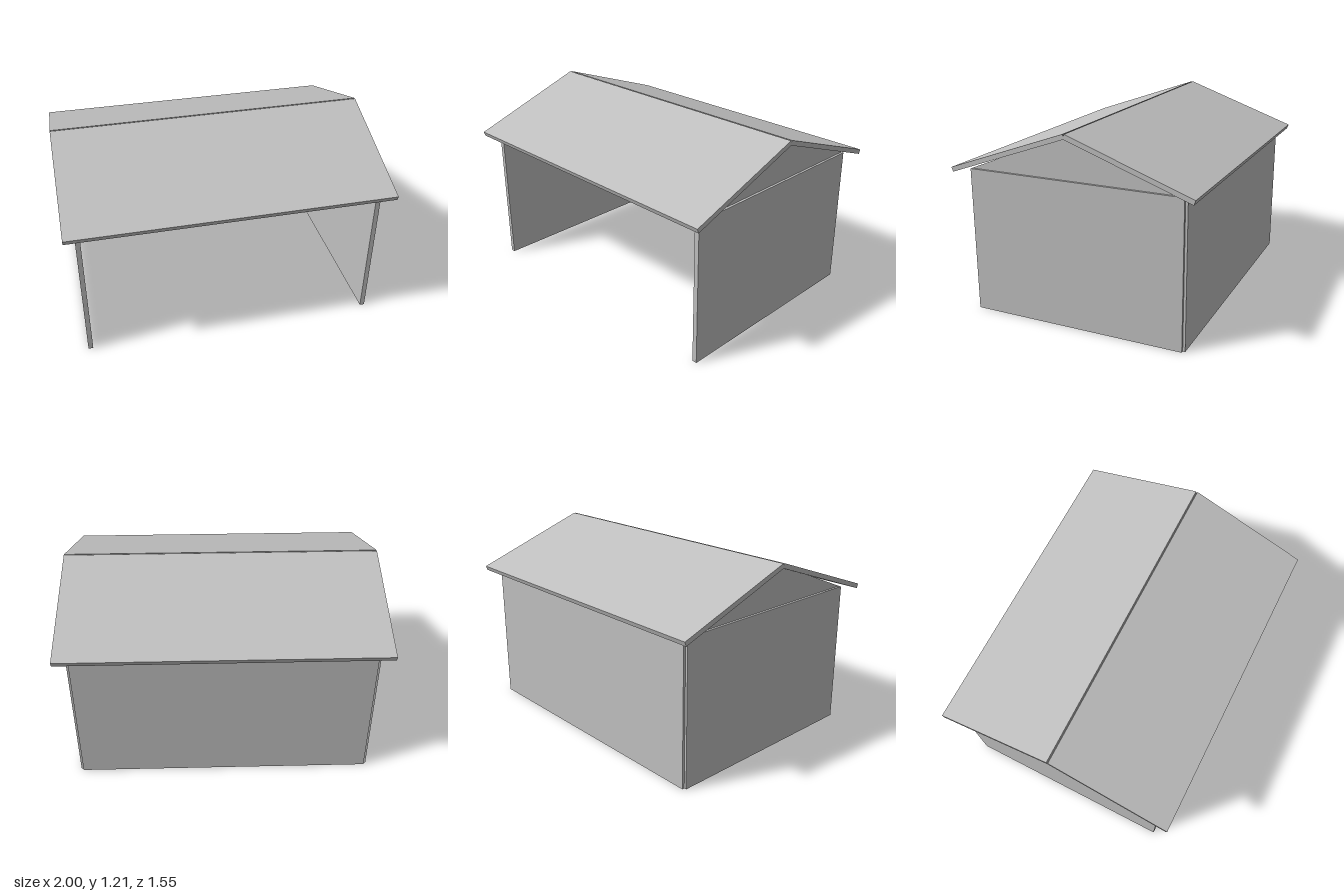
import * as THREE from 'three';

export function createModel() {
  const group = new THREE.Group();
  group.name = 'openShed';
  const grey = new THREE.MeshStandardMaterial({ color: 0xc0c0c0, side: THREE.DoubleSide });
  grey.name = 'plain grey';

  const W = 0.917, D = 0.688, H = 0.918, T = 0.03; // half width, half depth, wall height, board thickness

  const add = (name, geometry, x, y, z) => {
    const mesh = new THREE.Mesh(geometry, grey);
    mesh.name = name;
    mesh.position.set(x, y, z);
    group.add(mesh);
    return mesh;
  };
  const box = (name, w, h, d, x, y, z) => add(name, new THREE.BoxGeometry(w, h, d), x, y, z);

  // Back wall, centred on the rear ends of the side walls
  box('backWall', 2 * W, H, T, 0, H / 2, -D);

  // Side walls, each topped by a thin gable set on its centre line
  const triangle = new THREE.Shape([
    new THREE.Vector2(-D, 0), new THREE.Vector2(D, 0), new THREE.Vector2(0, 0.28),
  ]);
  for (const [side, s] of [['left', 1], ['right', -1]]) {
    box(side + 'Wall', T, H, 2 * D, s * W, H / 2, 0);
    add(side + 'Gable', new THREE.ShapeGeometry(triangle), s * W, H, 0).rotation.y = s * Math.PI / 2;
  }

  // Two sloping roof boards meeting at the ridge
  const run = 0.77, ridge = 1.195, eave = 0.921;
  const slope = Math.atan2(ridge - eave, run);
  for (const [end, s] of [['front', 1], ['back', -1]]) {
    const roof = box(end + 'Roof', 2, T, Math.hypot(run, ridge - eave), 0, (ridge + eave) / 2, s * run / 2);
    roof.rotation.x = s * slope;
  }

  // Bench along the back wall
  box('bench', 1.376, 0.018, 0.19, 0, 0.208, -0.578);

  // Row of slim upright rods hung above the bench
  for (let i = 0; i < 6; i++) {
    box('hangingRod', 0.005, 0.23, 0.005, (i - 2.5) * 0.229, 0.485, -0.66);
  }
  return group;
}
